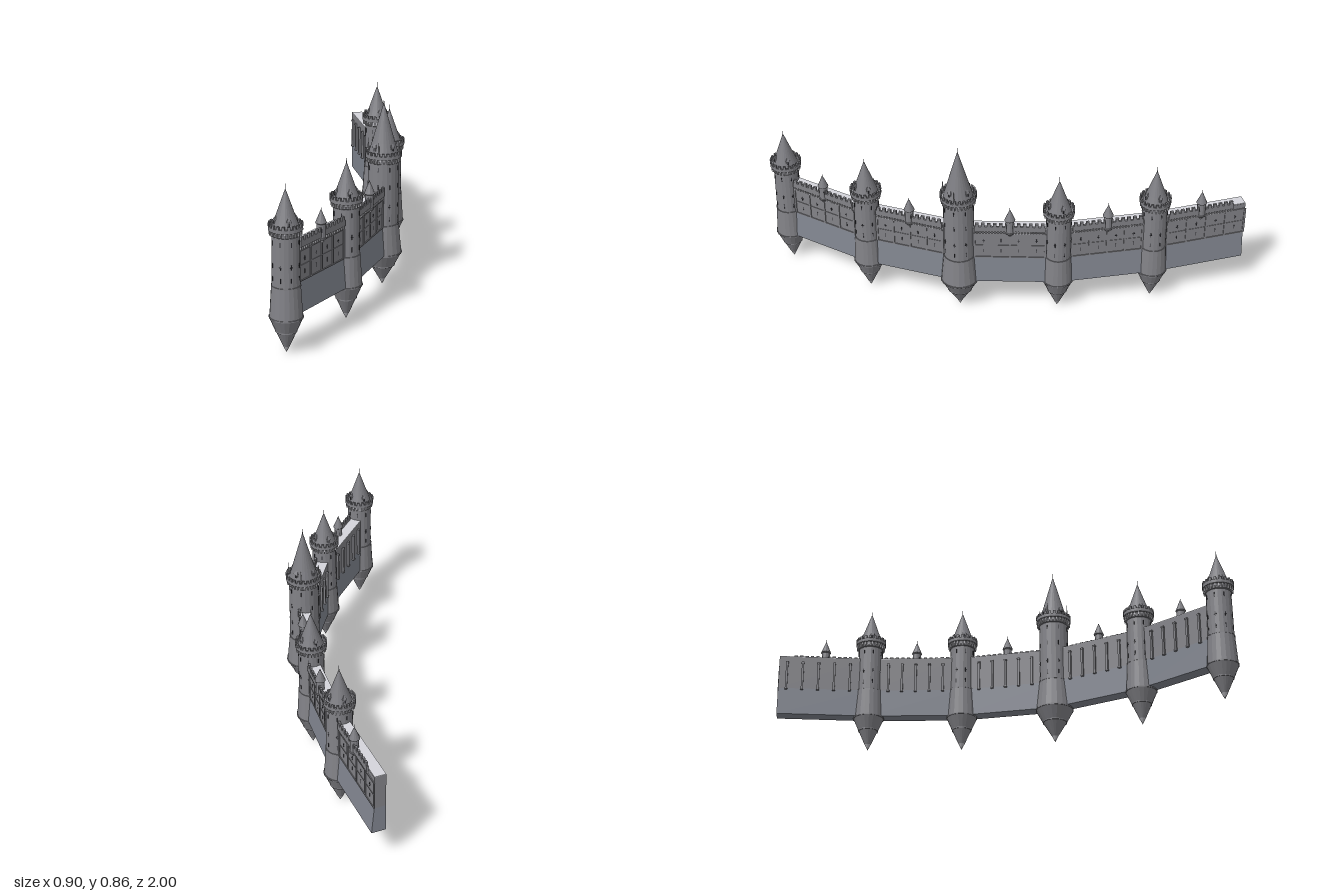
import * as THREE from 'three';
import { mergeGeometries } from 'three/addons/utils/BufferGeometryUtils.js';

const mat = (name, color) => Object.assign(new THREE.MeshStandardMaterial({ color }), { name });

// merge faceted pieces into one named mesh
function part(name, material, geos) {
  const flat = geos.map((g) => {
    const n = g.index ? g.toNonIndexed() : g;
    n.computeVertexNormals();
    return n;
  });
  const mesh = new THREE.Mesh(mergeGeometries(flat), material);
  mesh.name = name;
  return mesh;
}

const box = (w, h, d, x, y, z) => new THREE.BoxGeometry(w, h, d).translate(x, y, z);
const lathe = (pts, sides = 20) =>
  new THREE.LatheGeometry(pts.map(([r, y]) => new THREE.Vector2(r, y)), sides);
// n copies of a piece around the y axis; make() builds it facing +z
function around(n, make, offset = 0) {
  return Array.from({ length: n }, (_, i) => make(i).rotateY(offset + (i / n) * Math.PI * 2));
}

export function createModel() {
  const stone = mat('stone', 0x828287);
  const blueStone = mat('blue grey stone', 0x81858f);
  const slate = mat('slate', 0x7c7c81);
  const pale = mat('pale stone', 0xb8b8bd);
  const paving = mat('light paving', 0xd4d5db);
  const dark = mat('dark opening', 0x2e2e33);

  // r: shaft radius, base: foot radius, top: shaft top, roof: roof peak
  function tower({ r, base, top, roof, rows, turn, pinnacles }) {
    const g = new THREE.Group();
    g.name = 'tower';
    const rb = r + 0.012;
    const deck = top + 0.028;

    g.add(part('shaft', stone, [lathe([
      [0.014, 0.028], [base * 0.62, 0.093], [base * 0.66, 0.093], [base * 0.66, 0.098],
      [base, 0.153], [base + 0.002, 0.153], [base + 0.002, 0.159], [base - 0.001, 0.159],
      [r + 0.002, 0.288], [r + 0.003, 0.288], [r + 0.003, 0.293], [r, 0.293],
      [r - 0.002, top], [r + 0.002, top + 0.003], [r + 0.002, top + 0.01], [r + 0.006, deck - 0.006], [rb, deck - 0.004],
    ])]));
    g.add(part('footTip', pale, [lathe([[0, 0], [0.014, 0.028]], 16)]));

    // battlements on small brackets
    const count = Math.round(r * 330);
    g.add(part('battlement', stone, [
      lathe([[rb, deck - 0.004], [rb, deck + 0.012], [rb - 0.008, deck + 0.012], [rb - 0.008, deck - 0.004]]),
      ...around(count, () => box(0.011, 0.014, 0.008, 0, deck + 0.018, rb - 0.004)),
    ]));
    g.add(part('brackets', pale, around(count + 6, () => box(0.005, 0.02, 0.009, 0, deck - 0.014, r + 0.004))));
    g.add(part('towerDeck', paving, [new THREE.RingGeometry(r * 0.8, rb - 0.007, 20).rotateX(-Math.PI / 2).translate(0, deck, 0)]));

    // conical roof and finial
    const rr = r * 0.95;
    const eave = deck + 0.012;
    g.add(part('drum', stone, [new THREE.CylinderGeometry(rr * 0.95, rr * 0.95, 0.02, 20, 1, true).translate(0, deck + 0.004, 0)]));
    g.add(part('roof', slate, [lathe([[rr * 0.9, eave - 0.002], [rr, eave - 0.002], [rr * 0.76, eave + (roof - eave) * 0.23], [0.002, roof]], 24)]));
    g.add(part('finial', slate, [new THREE.CylinderGeometry(0.0007, 0.0017, 0.026, 6).translate(0, roof + 0.011, 0)]));

    // dormers
    const k = r / 0.058;
    const dy = eave + 0.013 * k;
    const dz = rr * 0.72;
    g.add(part('dormers', stone, around(4, () => box(0.017 * k, 0.03 * k, 0.02 * k, 0, dy, dz), turn)));
    g.add(part('dormerRoofs', slate, around(4, () => new THREE.ConeGeometry(0.014 * k, 0.016 * k, 4)
      .rotateY(Math.PI / 4).translate(0, dy + 0.023 * k, dz), turn)));
    g.add(part('dormerWindows', dark, around(4, () => box(0.006 * k, 0.015 * k, 0.002, 0, dy + 0.003, dz + 0.01 * k), turn)));

    // slender pinnacles between the dormers
    if (pinnacles) {
      g.add(part('pinnacles', pale, around(4, () => new THREE.CylinderGeometry(0.0008, 0.004, 0.055, 6)
        .translate(0, deck + 0.045, rr + 0.004), -turn)));
    }

    // arrow slits, the second row crossed
    const slits = [];
    rows.forEach((y, i) => {
      slits.push(...around(8, () => box(0.003, 0.02, 0.003, 0, y, r - 0.001), 0.2));
      if (i === 1) slits.push(...around(8, () => box(0.01, 0.003, 0.003, 0, y, r - 0.001), 0.2));
    });
    g.add(part('arrowSlits', dark, slits));
    return g;
  }

  // bartizan hung on the outer wall face
  function turret() {
    const g = new THREE.Group();
    g.name = 'wallTurret';
    g.add(part('turretFoot', pale, [lathe([[0, 0.4], [0.019, 0.424]], 12)]));
    g.add(part('turretBody', stone, [lathe([[0.019, 0.424], [0.021, 0.424], [0.021, 0.43],
      [0.019, 0.432], [0.019, 0.49], [0.023, 0.494]], 12)]));
    g.add(part('turretRoof', slate, [lathe([[0.019, 0.494], [0.024, 0.494], [0.001, 0.55]], 12)]));
    g.add(part('turretFinial', slate, [new THREE.CylinderGeometry(0.0006, 0.0014, 0.016, 6).translate(0, 0.554, 0)]));
    g.add(part('turretSlits', dark, around(4, () => box(0.003, 0.016, 0.002, 0, 0.464, 0.0185), Math.PI / 4)));
    return g;
  }

  // curtain wall: local x runs along it, +z is the outer side
  function wall(a, b, startGap, endGap, endTrim) {
    const g = new THREE.Group();
    g.name = 'curtainWall';
    const dx = b[0] - a[0];
    const dz = b[1] - a[1];
    const L = Math.hypot(dx, dz);
    g.position.set((a[0] + b[0]) / 2, 0, (a[1] + b[1]) / 2);
    g.rotation.y = Math.atan2(-dz, dx);

    const section = (pts) => new THREE.ExtrudeGeometry(
      new THREE.Shape(pts.map(([x, y]) => new THREE.Vector2(x, y))), { depth: L, bevelEnabled: false })
      .rotateY(-Math.PI / 2).translate(L / 2, 0, 0);
    g.add(part('wallFoot', blueStone, [section([[-0.028, 0.16], [0.036, 0.16], [0.024, 0.288], [-0.028, 0.288]])]));
    g.add(part('wallBody', stone, [section([[-0.028, 0.288], [0.024, 0.288], [0.024, 0.447], [-0.028, 0.447]])]));
    g.add(part('walkway', paving, [box(L, 0.003, 0.051, 0, 0.4485, -0.0025)]));

    // clear stretch between the towers
    const x0 = -L / 2 + startGap;
    const x1 = L / 2 - endGap;
    const span = x1 - x0;
    const mid = (x0 + x1) / 2;
    g.add(part('stringCourses', stone, [
      box(span, 0.005, 0.005, mid, 0.29, 0.025), box(span, 0.003, 0.003, mid, 0.355, 0.0245),
      box(span, 0.006, 0.006, mid, 0.42, 0.025),
    ]));

    // parapet with merlons on brackets
    const p1 = x1 - endTrim;
    const pl = p1 - x0;
    const n = Math.round(pl / 0.026);
    const parapet = [box(pl, 0.026, 0.01, (x0 + p1) / 2, 0.449, 0.028)];
    const brackets = [];
    for (let i = 0; i < n; i++) {
      const x = x0 + ((i + 0.5) / n) * pl;
      parapet.push(box(0.015, 0.018, 0.01, x, 0.469, 0.028));
      for (const o of [-0.0065, 0.0065]) brackets.push(box(0.005, 0.014, 0.008, x + o, 0.43, 0.027));
    }
    g.add(part('parapet', stone, parapet));
    g.add(part('wallBrackets', pale, brackets));

    // outer pilasters and slits, inner buttresses
    const pilasters = [];
    const slits = [];
    const buttresses = [];
    for (let i = 0; i <= 4; i++) pilasters.push(box(0.009, 0.13, 0.005, x0 + (i / 4) * span, 0.355, 0.025));
    for (let i = 0; i < 4; i++) {
      const x = x0 + ((i + 0.5) / 4) * span;
      slits.push(box(0.003, 0.018, 0.002, x, 0.38, 0.0243), box(0.01, 0.003, 0.002, x, 0.38, 0.0243),
        box(0.003, 0.018, 0.002, x, 0.325, 0.0243));
    }
    for (let i = 0; i < 5; i++) {
      const x = x0 + ((i + 0.5) / 5) * span;
      buttresses.push(box(0.01, 0.13, 0.01, x, 0.348, -0.032), box(0.013, 0.007, 0.013, x, 0.416, -0.033),
        box(0.013, 0.007, 0.013, x, 0.283, -0.033));
    }
    g.add(part('pilasters', stone, pilasters));
    g.add(part('wallSlits', dark, slits));
    g.add(part('innerButtresses', stone, buttresses));

    const t = turret();
    t.position.set(endTrim ? 0 : mid, 0, 0.021);
    g.add(t);
    return g;
  }

  const model = new THREE.Group();
  model.name = 'castleWall';
  const small = { r: 0.058, base: 0.069, top: 0.501, roof: 0.688, rows: [0.325, 0.38, 0.475], turn: 0.1, pinnacles: false };
  const great = { r: 0.069, base: 0.085, top: 0.574, roof: 0.833, rows: [0.325, 0.38, 0.47, 0.55], turn: 0.55, pinnacles: true };
  const spots = [[-0.379, 0.929], [-0.062, 0.63], [0.189, 0.272], [0.326, -0.145], [0.377, -0.575], [0.384, -0.999]];

  spots.slice(0, 5).forEach(([x, z], i) => {
    const t = tower(i === 2 ? great : small);
    t.position.set(x, 0, z);
    model.add(t);
    const last = i === 4;
    model.add(wall(spots[i], spots[i + 1], i === 2 ? 0.068 : 0.057, last ? 0 : i === 1 ? 0.068 : 0.057, last ? 0.06 : 0));
  });
  return model;
}
